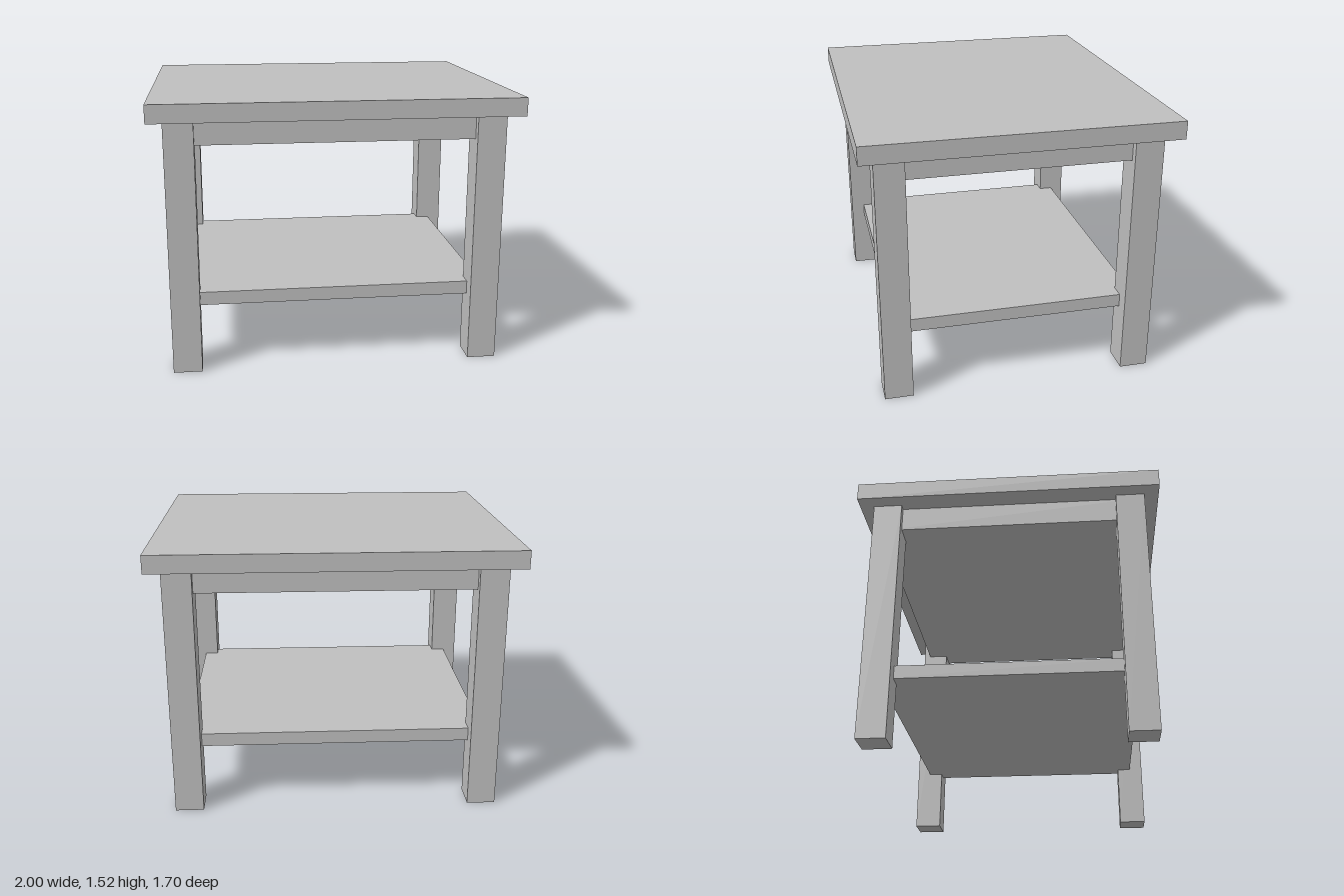
import * as THREE from 'three';

export function createModel() {
  const table = new THREE.Group();
  table.name = 'sideTable';

  const grey = new THREE.MeshStandardMaterial({ color: 0xbfbfbf });
  grey.name = 'plain grey';

  // Box centred on (x, z), spanning the heights y0 to y1
  function slab(name, width, depth, y0, y1, x = 0, z = 0) {
    const mesh = new THREE.Mesh(new THREE.BoxGeometry(width, y1 - y0, depth), grey);
    mesh.name = name;
    mesh.position.set(x, (y0 + y1) / 2, z);
    table.add(mesh);
  }

  const topBase = 1.42;

  // Overhanging top, the apron block below it, and the lower shelf
  slab('tableTop', 2, 1.7, topBase, 1.52);
  slab('apron', 1.76, 1.46, 1.28, topBase);
  slab('shelf', 1.68, 1.38, 0.365, 0.44);

  // Four square legs, standing slightly proud of the apron and shelf
  for (const [side, sx] of [['Left', 1], ['Right', -1]]) {
    for (const [end, sz] of [['front', 1], ['back', -1]]) {
      slab(end + side + 'Leg', 0.16, 0.16, 0, topBase, sx * 0.84, sz * 0.69);
    }
  }

  return table;
}
